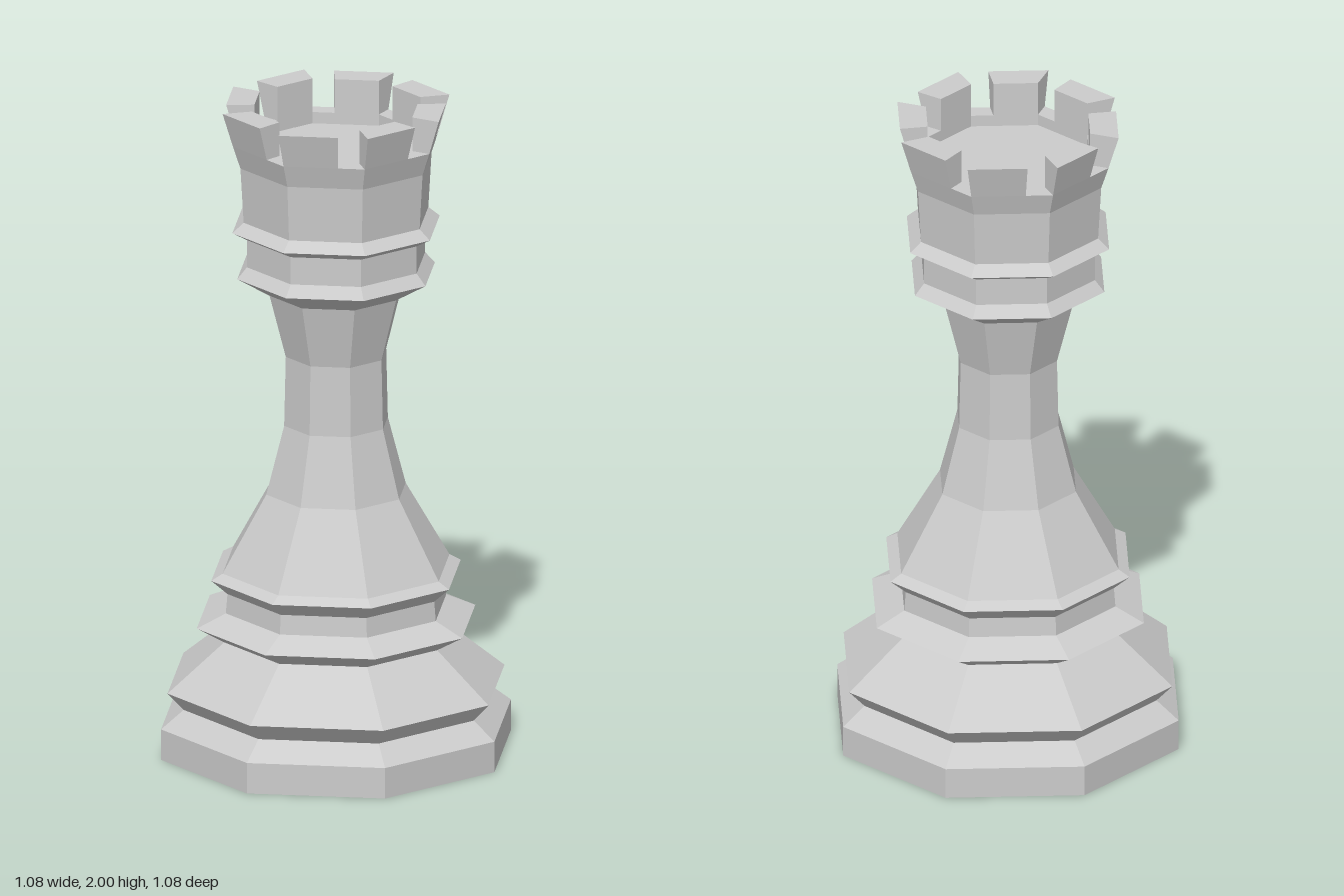
import * as THREE from 'three';

const SIDES = 8;
const material = new THREE.MeshStandardMaterial({ color: 0xcccccc, flatShading: true });

function flatMesh(geometry, name) {
  const flat = geometry.toNonIndexed();
  flat.computeVertexNormals();
  const mesh = new THREE.Mesh(flat, material);
  mesh.name = name;
  return mesh;
}

// Eight-sided turned part from [radius, height] pairs, listed bottom to top
function turned(name, profile) {
  const points = profile.map(([r, y]) => new THREE.Vector2(r, y));
  return flatMesh(new THREE.LatheGeometry(points, SIDES), name);
}

// Point a fraction t along one side of the octagon of radius r
function onSide(side, t, r, y) {
  const corner = (k) => {
    const a = (k / SIDES) * Math.PI * 2;
    return new THREE.Vector3(Math.sin(a) * r, y, Math.cos(a) * r);
  };
  return corner(side).lerp(corner(side + 1), t);
}

const INNER = 0.26, NOTCH_Y = 1.895, NOTCH_R = 0.318, TOP_R = 0.35;

// Battlement block: a box bent onto two thirds of one octagon side
function battlement(side) {
  const geometry = new THREE.BoxGeometry(1, 1, 1);
  const pos = geometry.attributes.position;
  for (let i = 0; i < pos.count; i++) {
    const top = pos.getY(i) > 0;
    const outer = top ? TOP_R : NOTCH_R;
    const r = pos.getZ(i) > 0 ? outer : INNER;
    const p = onSide(side, pos.getX(i) > 0 ? 2 / 3 : 0, r, top ? 2 : NOTCH_Y);
    pos.setXYZ(i, p.x, p.y, p.z);
  }
  return flatMesh(geometry, 'battlement' + (side + 1));
}

export function createModel() {
  const model = new THREE.Group();
  model.name = 'rook';

  // Stepped foot with its rings
  model.add(turned('base', [
    [0, 0], [0.54, 0], [0.54, 0.095], [0.47, 0.15], [0.52, 0.205],
    [0.345, 0.35], [0.43, 0.4], [0.34, 0.44], [0.335, 0.5], [0.385, 0.545], [0.35, 0.565],
  ]));

  // Waisted stem
  model.add(turned('stem', [
    [0.35, 0.565], [0.215, 0.8], [0.16, 1.01], [0.155, 1.225], [0.205, 1.42],
  ]));

  // Double collar
  model.add(turned('collar', [
    [0.205, 1.42], [0.305, 1.48], [0.275, 1.515], [0.275, 1.6], [0.32, 1.625], [0.285, 1.655],
  ]));

  // Tower head with a sunken floor
  model.add(turned('towerHead', [
    [0.285, 1.655], [0.295, 1.825], [NOTCH_R, NOTCH_Y], [INNER, NOTCH_Y], [INNER, 1.86], [0, 1.86],
  ]));

  // Ring of battlements
  const battlements = new THREE.Group();
  battlements.name = 'battlements';
  for (let side = 0; side < SIDES; side++) battlements.add(battlement(side));
  model.add(battlements);

  return model;
}
